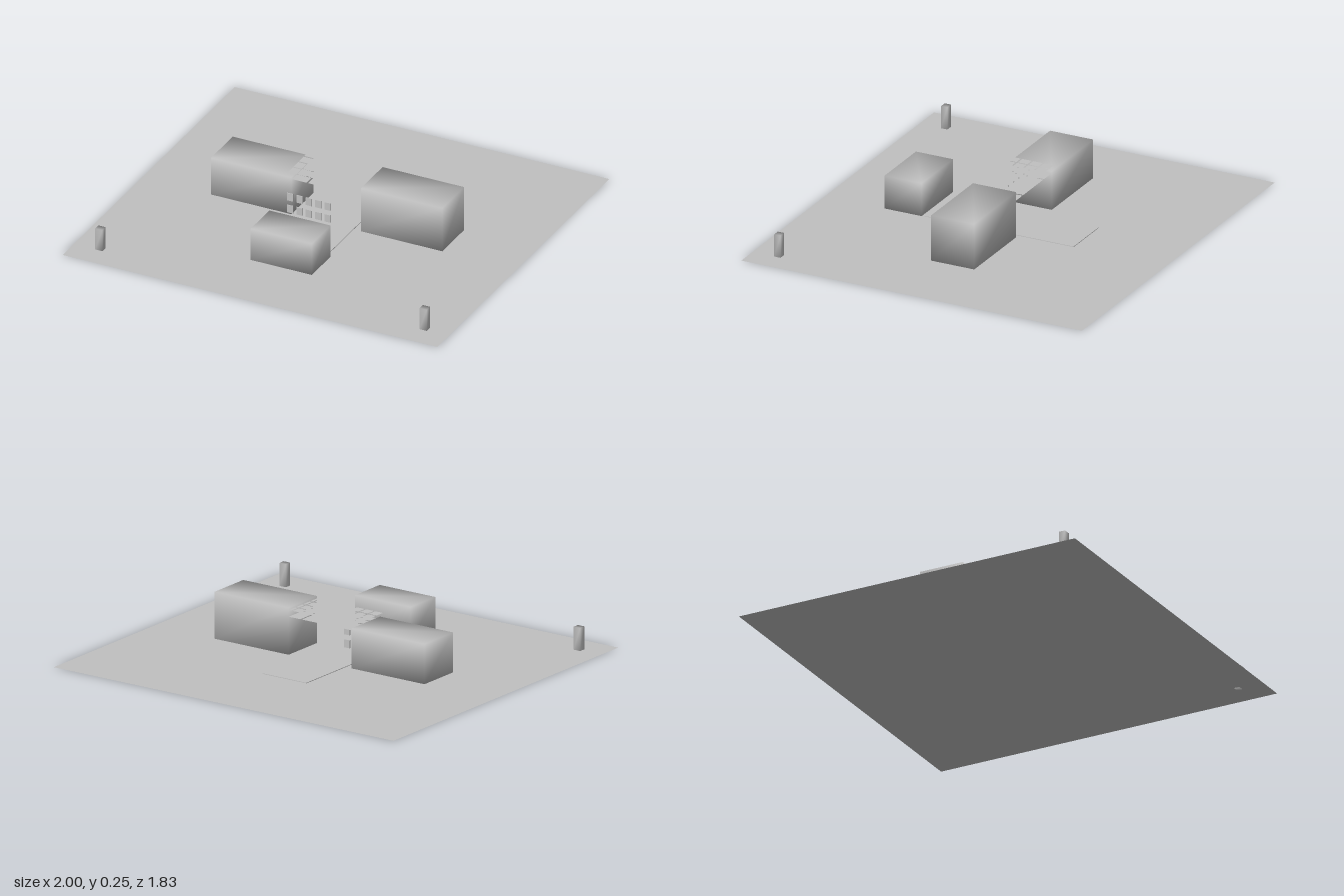
import * as THREE from 'three';
import { mergeVertices } from 'three/addons/utils/BufferGeometryUtils.js';

export function createModel() {
  const root = new THREE.Group();
  const grey = new THREE.MeshStandardMaterial({ color: 0xc0c0c0, side: THREE.DoubleSide });
  grey.name = 'plain grey';

  function add(parent, name, geometry, x, y, z) {
    const mesh = new THREE.Mesh(geometry, grey);
    mesh.name = name;
    mesh.position.set(x, y, z);
    parent.add(mesh);
    return mesh;
  }

  // Box given by its limits, with normals shared across the corners
  function softBox(parent, name, x0, x1, y0, y1, z0, z1) {
    let g = new THREE.BoxGeometry(x1 - x0, y1 - y0, z1 - z0);
    g.deleteAttribute('normal');
    g.deleteAttribute('uv');
    g = mergeVertices(g);
    g.computeVertexNormals();
    return add(parent, name, g, (x0 + x1) / 2, (y0 + y1) / 2, (z0 + z1) / 2);
  }

  function group(name) {
    const g = new THREE.Group();
    g.name = name;
    root.add(g);
    return g;
  }

  // Flat site
  add(root, 'ground', new THREE.PlaneGeometry(2, 1.83).rotateX(-Math.PI / 2), 0, 0, 0);
  add(root, 'path', new THREE.BoxGeometry(0.26, 0.003, 0.8), 0, 0.0025, -0.02);

  // Three building blocks
  softBox(root, 'rightWing', -0.62, -0.19, 0.015, 0.215, -0.137, 0.095);
  softBox(root, 'leftWing', 0.18, 0.615, 0.015, 0.25, -0.137, 0.095);
  softBox(root, 'frontBlock', -0.165, 0.162, 0.015, 0.185, 0.38, 0.58);

  // Gate posts
  for (const s of [-1, 1])
    softBox(root, 'gatePost', s * 0.866 - 0.019, s * 0.866 + 0.019, 0, 0.115, 0.764, 0.798);

  // Canopy: two flat layers of tiles between the wings
  const gap = 0.008;
  function tileLayer(name, y, xs, zs) {
    const layer = group(name);
    for (let i = 0; i + 1 < xs.length; i++)
      for (let j = 0; j + 1 < zs.length; j++)
        add(layer, 'canopyTile',
          new THREE.PlaneGeometry(xs[i + 1] - xs[i] - gap, zs[j + 1] - zs[j] - gap).rotateX(-Math.PI / 2),
          (xs[i] + xs[i + 1]) / 2, y, (zs[j] + zs[j + 1]) / 2);
  }
  const steps = (from, pitch, n) => Array.from({ length: n + 1 }, (_, i) => from + i * pitch);
  tileLayer('upperCanopy', 0.238, steps(-0.215, 0.05375, 8), steps(-0.14, 0.05875, 4));
  tileLayer('lowerCanopy', 0.205, [-0.215, -0.1075, 0.1075, 0.215], [-0.14, -0.0225, 0.03625, 0.095]);

  // Two rows of small front panels
  const panels = group('frontPanels');
  for (const y of [0.043, 0.108])
    for (let i = 0; i < 5; i++)
      add(panels, 'panel', new THREE.BoxGeometry(0.032, 0.04, 0.005), -0.196 + i * 0.05, y, 0.097);

  return root;
}
